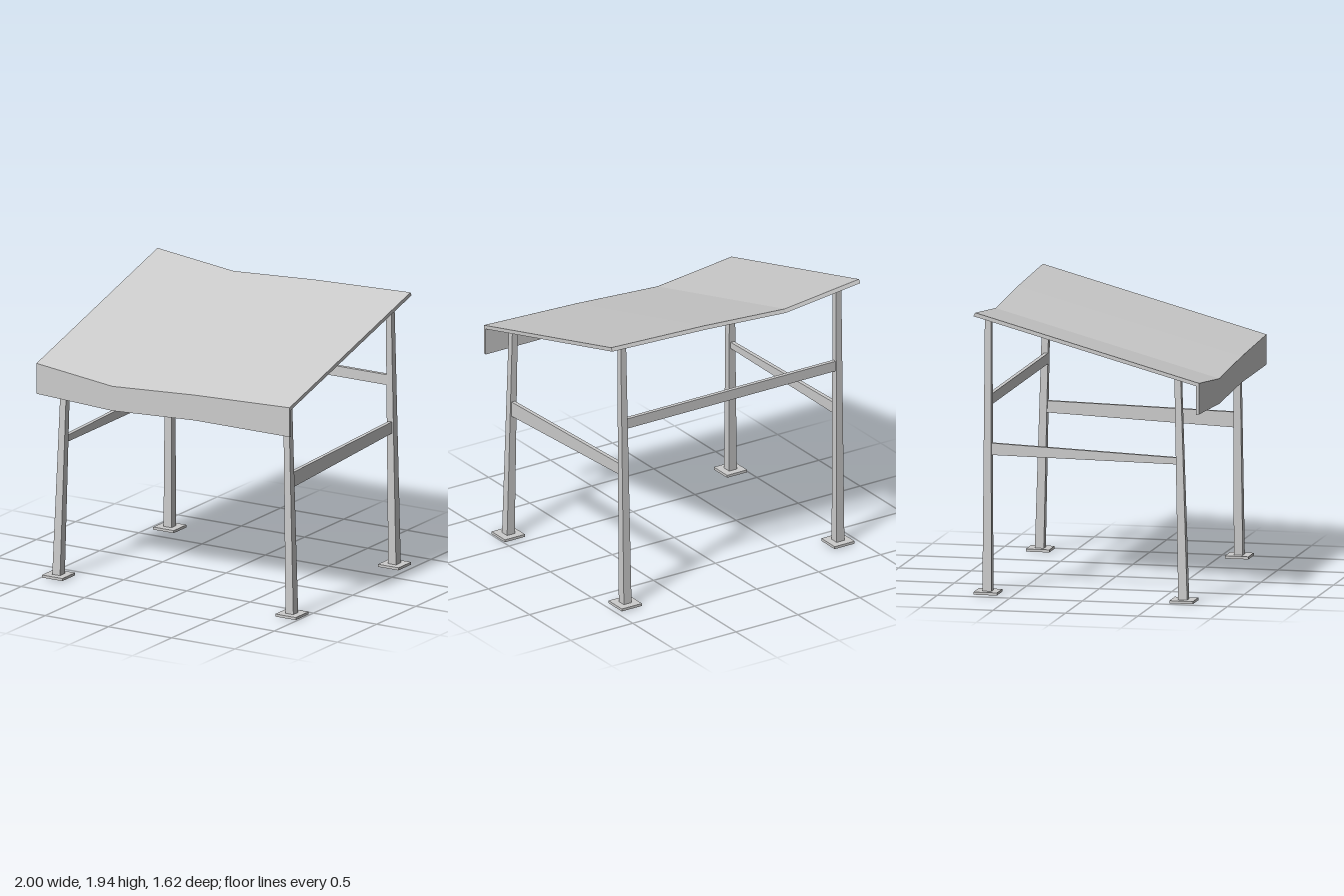
import * as THREE from 'three';

const material = new THREE.MeshStandardMaterial({ color: 0xcccccc, flatShading: true, side: THREE.DoubleSide });

// Solid skinned over four-cornered cross-sections, closed at both ends
function loft(name, sections) {
  const pos = [], index = [];
  sections.forEach(s => s.forEach(p => pos.push(...p)));
  for (let i = 0; i < sections.length - 1; i++) {
    for (let j = 0; j < 4; j++) {
      const a = i * 4 + j, b = i * 4 + (j + 1) % 4;
      index.push(a, b, b + 4, a, b + 4, a + 4);
    }
  }
  const e = (sections.length - 1) * 4;
  index.push(0, 2, 1, 0, 3, 2, e, e + 1, e + 2, e, e + 2, e + 3);
  const g = new THREE.BufferGeometry();
  g.setAttribute('position', new THREE.Float32BufferAttribute(pos, 3));
  g.setIndex(index);
  const flat = g.toNonIndexed();
  flat.computeVertexNormals();
  const mesh = new THREE.Mesh(flat, material);
  mesh.name = name;
  return mesh;
}

// Square section lying flat, for the posts
const square = ([x, y, z], w) => {
  const h = w / 2;
  return [[x - h, y, z + h], [x + h, y, z + h], [x + h, y, z - h], [x - h, y, z - h]];
};

// Upright section across a rail that runs along z
const railEnd = (x, z, low, high, t) =>
  [[x - t, low, z], [x + t, low, z], [x + t, high, z], [x - t, high, z]];

export function createModel() {
  const model = new THREE.Group();

  // Roof line across x: position, height offset, lower edge of the front flap
  const line = [[-1, 0, 1.305], [-0.4, -0.068, 1.278], [0.25, -0.028, 1.312], [1, 0, 1.312]];
  const front = 1.517, back = 1.938;

  // Sloping roof sheet with a shallow valley
  model.add(loft('roof', line.map(([x, d]) => [
    [x, front + d, 0.805], [x, back + d, -0.738],
    [x, back + d - 0.024, -0.752], [x, front + d - 0.024, 0.798],
  ])));

  // Flap hanging from the low front edge
  model.add(loft('frontFlap', line.map(([x, d, low]) => [
    [x, front + d, 0.806], [x, front + d - 0.018, 0.785],
    [x, low - 0.004, 0.785], [x, low, 0.806],
  ])));

  // Tapered, leaning posts on square foot plates: foot x, z and top x, y, z
  const posts = [
    ['frontLeft', 0.915, 0.637, 0.878, 1.535, 0.632],
    ['frontRight', -0.905, 0.678, -0.872, 1.525, 0.632],
    ['backLeft', 0.88, -0.728, 0.875, 1.893, -0.678],
    ['backRight', -0.868, -0.682, -0.862, 1.88, -0.678],
  ];
  for (const [name, x, z, tx, ty, tz] of posts) {
    model.add(loft(name + 'Post', [square([x, 0.002, z], 0.062), square([tx, ty, tz], 0.043)]));
    const plate = new THREE.Mesh(new THREE.BoxGeometry(0.162, 0.018, 0.162), material);
    plate.name = name + 'FootPlate';
    plate.position.set(x, 0.016, z);
    model.add(plate);
  }

  // Side rails, tapering along their length
  model.add(loft('leftRail', [
    railEnd(0.878, -0.685, 0.95, 1.03, 0.014), railEnd(0.893, 0.62, 0.895, 1.0, 0.014),
  ]));
  model.add(loft('rightRail', [
    railEnd(-0.865, -0.67, 0.952, 1.033, 0.014), railEnd(-0.885, 0.64, 0.94, 0.985, 0.014),
  ]));

  // Rail between the back posts
  const backRail = new THREE.Mesh(new THREE.BoxGeometry(1.72, 0.072, 0.028), material);
  backRail.name = 'backRail';
  backRail.position.set(0.005, 1.32, -0.682);
  model.add(backRail);

  return model;
}
